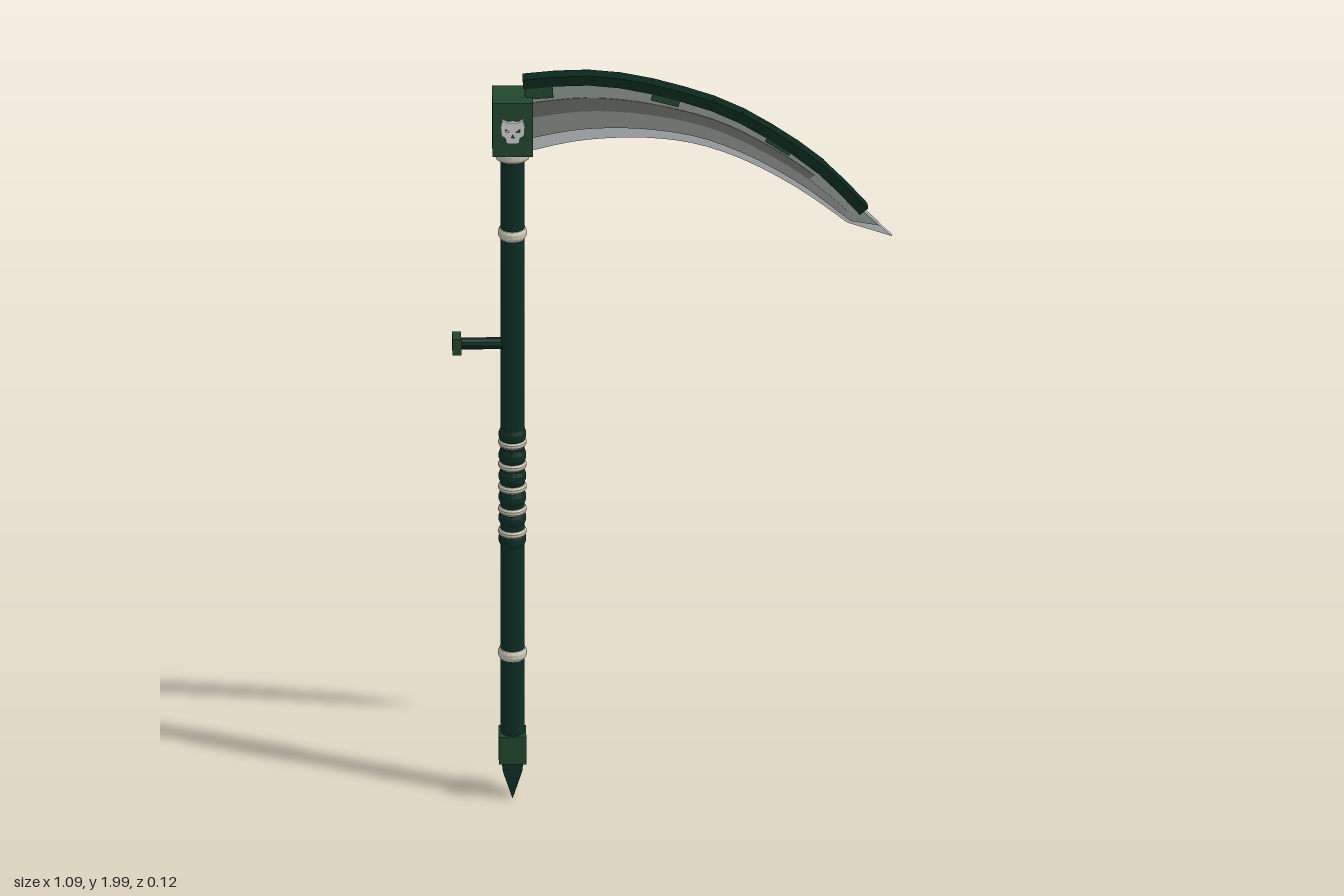
import * as THREE from 'three';

export function createModel() {
  const root = new THREE.Group();
  root.name = 'scythe';
  const mat = (name, color, double = false) => {
    const m = new THREE.MeshStandardMaterial({ color, flatShading: true });
    m.name = name;
    if (double) m.side = THREE.DoubleSide;
    return m;
  };
  const shaftGreen = mat('shaft green', 0x0d2e25);
  const spineGreen = mat('spine green', 0x0a271c);
  const boxGreen = mat('fitting green', 0x22472d);
  const cream = mat('cream band', 0xc9c5b2);
  const silver = mat('silver', 0xcfcfd3);
  const steelLight = mat('sage steel', 0x8c958d);
  const steelDark = mat('dark steel', 0x62665f);
  const steelMid = mat('grey steel', 0x868b87);
  const steelEdge = mat('edge steel', 0xbfc4c6);

  const add = (name, geo, m, x = 0, y = 0, z = 0, rz = 0) => {
    const mesh = new THREE.Mesh(geo, m);
    mesh.name = name;
    mesh.position.set(x, y, z);
    mesh.rotation.z = rz;
    root.add(mesh);
    return mesh;
  };
  const box = (name, m, w, h, d, x, y, z = 0, rz = 0) =>
    add(name, new THREE.BoxGeometry(w, h, d), m, x, y, z, rz);
  const plate = (name, pts, depth, m) => {
    const geo = new THREE.ExtrudeGeometry(new THREE.Shape(pts), { depth, bevelEnabled: false });
    geo.translate(0, 0, -depth / 2);
    return add(name, geo, m);
  };
  const v = (x, y) => new THREE.Vector2(x, y);
  const X = -0.4;

  // Shaft
  add('shaft', new THREE.CylinderGeometry(0.03, 0.03, 1.64, 12), shaftGreen, X, 0.98);

  // Rounded band around the shaft
  const band = (name, m, y, r, h) => {
    const profile = [v(0.027, -h / 2), v(r - 0.004, -h / 2), v(r, -h / 5), v(r, h / 5), v(r - 0.004, h / 2), v(0.027, h / 2)];
    add(name, new THREE.LatheGeometry(profile, 16), m, X, y);
  };
  band('lowerRing', cream, 0.395, 0.036, 0.027);
  band('upperRing', cream, 1.555, 0.036, 0.027);
  band('headCollar', cream, 1.777, 0.046, 0.028);

  // Grip: dark wraps between cream bands
  for (let i = 0; i < 5; i++) band('gripBand', cream, 0.73 + i * 0.0615, 0.0355, 0.018);
  for (let i = 0; i < 6; i++) band('gripWrap', shaftGreen, 0.71 + i * 0.0575, 0.034, 0.036);

  // Side handle
  const rod = add('sideHandle', new THREE.CylinderGeometry(0.015, 0.015, 0.13, 10), shaftGreen, -0.475, 1.248);
  rod.rotation.z = Math.PI / 2;
  box('sideHandleCap', boxGreen, 0.022, 0.044, 0.044, -0.538, 1.248);

  // Foot block and wedge spike
  box('footBlock', boxGreen, 0.068, 0.075, 0.068, X, 0.138);
  plate('footSpike', [v(X - 0.027, 0.102), v(X - 0.024, 0.075), v(X, 0), v(X + 0.024, 0.075), v(X + 0.027, 0.102)], 0.044, shaftGreen);

  // Head block
  box('headBlock', boxGreen, 0.1, 0.148, 0.1, X, 1.861);

  // Skull-like badge on both faces
  const half = [[0, 0.025], [0.014, 0.024], [0.026, 0.031], [0.03, 0.012], [0.028, -0.012], [0.018, -0.018], [0.016, -0.032], [0.006, -0.034]];
  const outline = half.map(([x, y]) => v(x, y)).concat(half.slice(1).reverse().map(([x, y]) => v(-x, y)));
  const badgeShape = new THREE.Shape(outline);
  for (const s of [-1, 1]) {
    const eye = [v(s * 0.007, -0.002), v(s * 0.018, 0.007), v(s * 0.018, -0.002)];
    badgeShape.holes.push(new THREE.Path(eye));
  }
  badgeShape.holes.push(new THREE.Path([v(0, -0.009), v(0.004, -0.017), v(-0.004, -0.017)]));
  for (const s of [1, -1]) {
    const geo = new THREE.ExtrudeGeometry(badgeShape, { depth: 0.009, bevelEnabled: false });
    const badge = add(s > 0 ? 'frontBadge' : 'backBadge', geo, silver, X, 1.861, s * 0.05);
    if (s < 0) badge.rotation.y = Math.PI;
  }

  // Blade: back and cutting-edge curves
  const curve = (pts) => new THREE.SplineCurve(pts.map((p) => v(p[0], p[1])));
  const back = curve([[-0.37, 1.968], [-0.24, 1.978], [-0.125, 1.968], [0, 1.937], [0.135, 1.887], [0.26, 1.81], [0.37, 1.722], [0.468, 1.612]]);
  const edge = curve([[-0.37, 1.778], [-0.26, 1.805], [-0.16, 1.816], [-0.05, 1.815], [0.06, 1.797], [0.18, 1.75], [0.31, 1.672], [0.43, 1.578]]);
  const at = (t, f) => back.getPoint(t).lerp(edge.getPoint(t), f);
  const strip = (name, f0, f1, t1, depth, m) => {
    const pts = [];
    const n = 20;
    for (let i = 0; i <= n; i++) pts.push(at((i / n) * t1, f0));
    for (let i = n; i >= 0; i--) pts.push(at((i / n) * t1, f1));
    plate(name, pts, depth, m);
  };
  strip('bladeBack', 0, 0.8, 1, 0.022, steelLight);
  strip('bladeGroove', 0.28, 0.5, 0.85, 0.026, steelDark);
  strip('bladeBevel', 0.5, 0.8, 0.97, 0.024, steelMid);
  strip('bladeEdge', 0.78, 1, 1, 0.012, steelEdge);

  // Pointed tip, thick near the back and thin at the point
  const tip = v(0.54, 1.54);
  const [a, b, c] = [at(1, 0), at(1, 0.8), at(1, 1)];
  const mid = a.clone().lerp(tip, 0.55);
  plate('tipBack', [a, mid, b], 0.022, steelLight);
  plate('tipEdge', [a, tip, c], 0.012, steelEdge);

  // Segmented spine along the back
  const segs = 12;
  for (let i = 0; i < segs; i++) {
    const p = back.getPointAt(i / segs), q = back.getPointAt((i + 1) / segs);
    const d = q.clone().sub(p);
    const wide = i < 10 ? 0.037 : 0.031;
    box('spineSegment', spineGreen, d.length() + 0.008, 0.026, wide, (p.x + q.x) / 2, (p.y + q.y) / 2 + 0.003, 0, Math.atan2(d.y, d.x));
  }

  // Clamps holding the spine to the blade
  for (const [x, y, w, h, r] of [[-0.335, 1.952, 0.07, 0.042, 0.06], [-0.018, 1.932, 0.07, 0.036, -0.28], [0.265, 1.802, 0.07, 0.034, -0.6]])
    box('spineClamp', boxGreen, w, h, 0.034, x, y, 0, r);

  // Centre the model on x
  root.children.forEach((m) => { m.position.x += 0.004; });
  return root;
}
